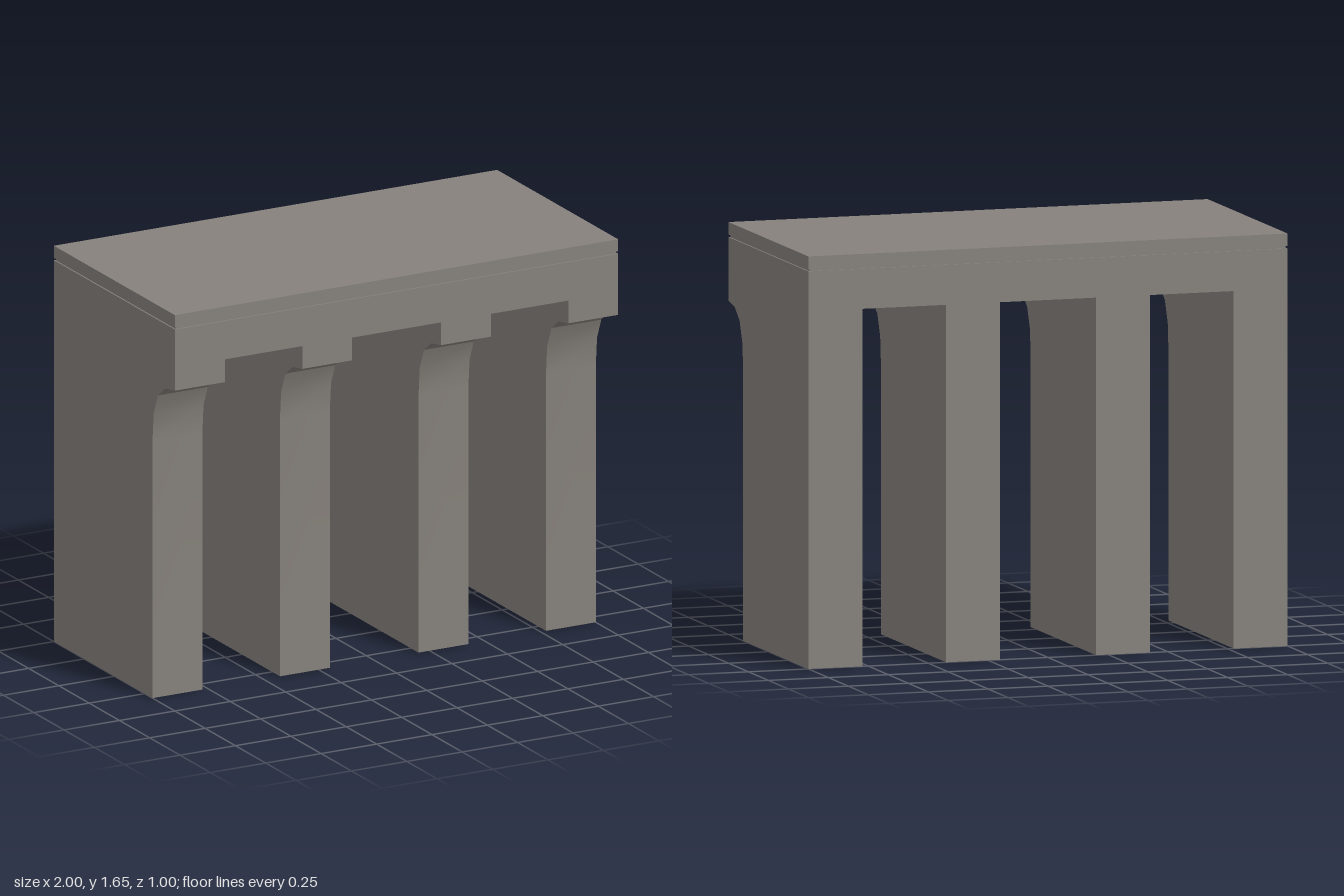
import * as THREE from 'three';
import { toCreasedNormals } from 'three/addons/utils/BufferGeometryUtils.js';

const WIDTH = 2, DEPTH = 1, PIER = 0.225;
const PIER_TOP = 1.43, BEAM_TOP = 1.59, SLAB_BOTTOM = 1.6, SLAB_TOP = 1.65;

export function createModel() {
  const group = new THREE.Group();
  group.name = 'pierBlock';
  const stone = new THREE.MeshStandardMaterial({ color: 0x86817b });
  stone.name = 'warm grey stone';

  const add = (name, geometry) => {
    const mesh = new THREE.Mesh(geometry, stone);
    mesh.name = name;
    group.add(mesh);
    return mesh;
  };

  // Full-width layer between two heights, inset on every side
  const layer = (name, y0, y1, inset) => {
    const box = new THREE.BoxGeometry(WIDTH - 2 * inset, y1 - y0, DEPTH - 2 * inset);
    add(name, box).position.y = (y0 + y1) / 2;
  };

  // Pier side profile (z, y) with a curved corbel at the front
  const profile = new THREE.Shape([
    [-0.5, 0], [0.315, 0], [0.315, 1.07], [0.325, 1.19], [0.36, 1.275],
    [0.42, 1.32], [0.5, 1.335], [0.5, PIER_TOP], [-0.5, PIER_TOP],
  ].map(([z, y]) => new THREE.Vector2(z, y)));
  const extruded = new THREE.ExtrudeGeometry(profile, { depth: PIER, bevelEnabled: false });
  extruded.rotateY(-Math.PI / 2).translate(PIER / 2, 0, 0);
  const pierGeometry = toCreasedNormals(extruded, 0.52);

  // Two outer and two inner piers
  for (const side of [-1, 1]) {
    add(side > 0 ? 'leftOuterPier' : 'rightOuterPier', pierGeometry).position.x = side * 0.8875;
    add(side > 0 ? 'leftInnerPier' : 'rightInnerPier', pierGeometry).position.x = side * 0.3125;
  }

  // Beam, shadow groove and top slab
  layer('beam', PIER_TOP, BEAM_TOP, 0);
  layer('groove', BEAM_TOP, SLAB_BOTTOM, 0.006);
  layer('topSlab', SLAB_BOTTOM, SLAB_TOP, 0);

  return group;
}
